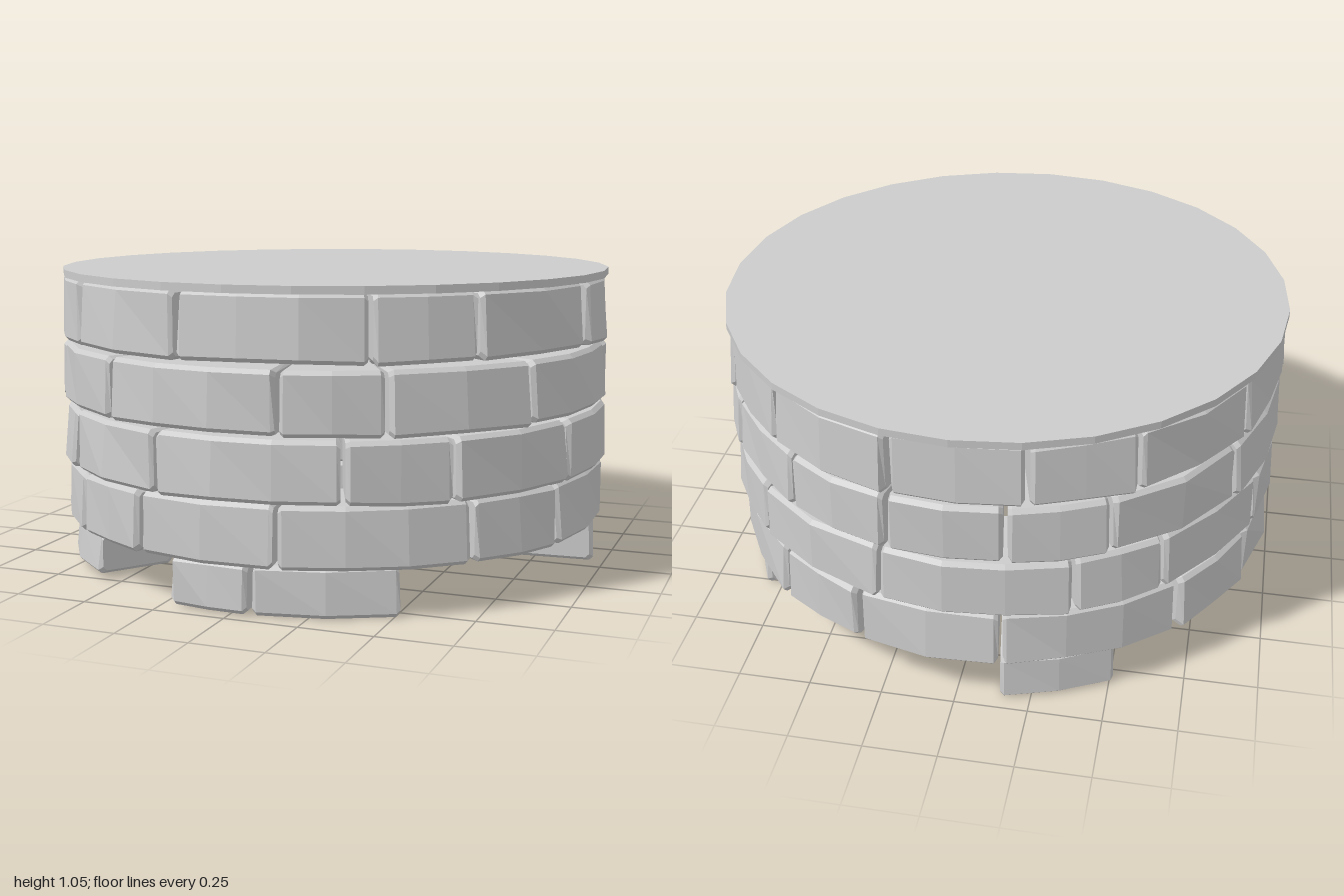
import * as THREE from 'three';

const material = new THREE.MeshStandardMaterial({ color: 0xcccccc, flatShading: true, side: THREE.DoubleSide });
const rad = THREE.MathUtils.degToRad;

// Seeded value in -1..1 for the hand-cut irregularity
let seed = 7;
function jitter() {
  seed = (seed * 16807) % 2147483647;
  return (seed / 2147483647) * 2 - 1;
}

// Chamfered section (radius, height), shrunk by inset for the end faces
function section(r0, r1, y0, y1, inset) {
  const c = 0.014;
  r0 += inset; r1 -= inset; y0 += inset; y1 -= inset;
  return [
    [r0 + c, y0], [r1 - c, y0], [r1, y0 + c], [r1, y1 - c],
    [r1 - c, y1], [r0 + c, y1], [r0, y1 - c], [r0, y0 + c],
  ];
}

// Curved stone swept from angle a to b (degrees, from +z towards +x)
function stone(name, a, b, y0, y1) {
  const gap = 0.45, bevel = 0.8;
  a += gap; b -= gap;
  const steps = Math.max(2, Math.round((b - a) / 13));
  const angles = [a];
  for (let i = 0; i <= steps; i++) angles.push(a + bevel + ((b - a - 2 * bevel) * i) / steps);
  angles.push(b);

  const points = [], index = [], n = 8;
  const outer = 0.981 + 0.005 * jitter();
  angles.forEach((angle, i) => {
    const end = i === 0 || i === angles.length - 1;
    const out = outer + 0.006 * jitter(), drop = 0.005 * jitter(), lean = 0.004 + 0.006 * jitter();
    for (const [r, y] of section(0.7, out, y0, y1, end ? 0.011 : 0)) {
      const low = y < (y0 + y1) / 2;
      const radius = r + (r > 0.85 ? (low ? lean : -lean) : 0);
      const t = rad(angle);
      points.push(radius * Math.sin(t), y + (low && y0 > 0.1 ? drop : 0), radius * Math.cos(t));
    }
  });
  for (let i = 0; i < angles.length - 1; i++) {
    for (let j = 0; j < n; j++) {
      const p = i * n + j, q = i * n + ((j + 1) % n);
      index.push(p, p + n, q, q, p + n, q + n);
    }
  }
  // End caps
  const last = (angles.length - 1) * n;
  for (let j = 1; j < n - 1; j++) index.push(0, j, j + 1, last, last + j + 1, last + j);

  const indexed = new THREE.BufferGeometry();
  indexed.setAttribute('position', new THREE.Float32BufferAttribute(points, 3));
  indexed.setIndex(index);
  const geometry = indexed.toNonIndexed();
  geometry.computeVertexNormals();
  const mesh = new THREE.Mesh(geometry, material);
  mesh.name = name;
  return mesh;
}

export function createModel() {
  const model = new THREE.Group();
  model.name = 'roundStoneWall';

  // Full courses: height range and the angles of the joints
  const courses = [
    { y: [0.16, 0.367], joints: [9.5, 47, 69, 99, 139.5, 160, 189, 226, 248, 279, 320, 340] },
    { y: [0.367, 0.573], joints: [22, 43, 73, 113, 133.5, 165, 203, 222, 251, 292, 314, 344] },
    { y: [0.583, 0.79], joints: [10, 30, 61, 100, 120, 144, 167, 190, 210, 241, 270, 302, 331.5] },
    { y: [0.805, 1.025], joints: [27, 48, 79, 118, 140, 168, 194, 215, 243, 270, 297, 319, 349.5] },
  ];
  courses.forEach(({ y, joints }, row) => {
    const course = new THREE.Group();
    course.name = `course${row + 1}`;
    joints.forEach((a, i) => {
      const b = i + 1 < joints.length ? joints[i + 1] : joints[0] + 360;
      course.add(stone('stone', a, b, y[0], y[1]));
    });
    model.add(course);
  });

  // Loose stones of the broken bottom course: start, end, underside
  const feet = new THREE.Group();
  feet.name = 'brokenBottomCourse';
  for (const [a, b, y] of [[-13.5, 4, 0.004], [4, 33.5, 0], [93, 124, 0.004], [188.5, 213, 0], [275, 324, 0.022]]) {
    const foot = stone('bottomStone', a, b, y, 0.165);
    foot.scale.set(0.975, 1, 0.975);
    feet.add(foot);
  }
  model.add(feet);

  // Flat lid closing the top
  const lid = new THREE.Mesh(new THREE.CylinderGeometry(0.985, 0.985, 0.026, 28), material);
  lid.name = 'topSlab';
  lid.position.y = 1.035;
  model.add(lid);

  return model;
}
